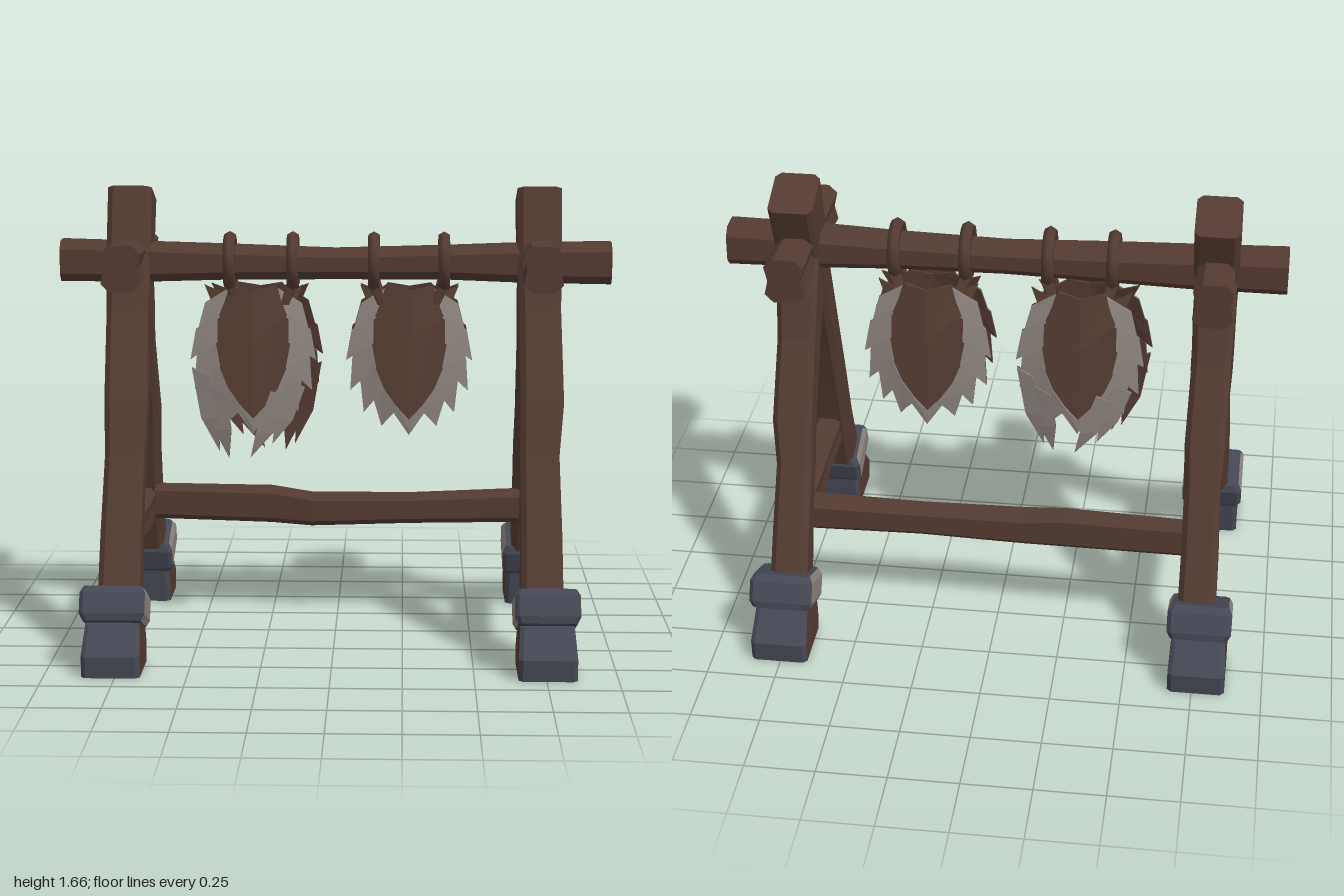
import * as THREE from 'three';

const mat = (name, color) => {
  const m = new THREE.MeshStandardMaterial({ color });
  m.name = name;
  return m;
};

export function createModel() {
  const wood = mat('brown wood', 0x543b32);
  const slate = mat('slate metal', 0x454854);
  const fur = mat('pale grey fur', 0x8b827c);
  const model = new THREE.Group();
  const V = (x, y, z) => new THREE.Vector3(x, y, z);

  // Chamfered timber lofted from a to b. Stations: [t, offsetU, offsetV, sizeU, sizeV].
  // sideMat colours the two faces looking along u; groove cuts a crack along them.
  function timber(name, a, b, u, stations, { main = wood, sideMat = wood, groove = 0, bevel = 0.02 } = {}) {
    const dir = b.clone().sub(a).normalize();
    const v = dir.clone().cross(u).normalize();
    const rings = stations.map(([t, ou, ov, su, sv]) => {
      const hu = su / 2, hv = sv / 2, cu = hu - bevel, cv = hv - bevel;
      const c = a.clone().lerp(b, t).addScaledVector(u, ou).addScaledVector(v, ov);
      const pts = [[hu, -cv], [hu - groove, 0], [hu, cv], [cu, hv], [-cu, hv],
        [-hu, cv], [groove - hu, 0], [-hu, -cv], [-cu, -hv], [cu, -hv]]
        .map(([p, q]) => c.clone().addScaledVector(u, p).addScaledVector(v, q));
      return { c, pts };
    });
    const faces = [[], []];
    const tri = (k, ...p) => p.forEach((q) => faces[k].push(q.x, q.y, q.z));
    for (let r = 0; r < rings.length - 1; r++) {
      for (let i = 0; i < 10; i++) {
        const j = (i + 1) % 10, p = rings[r].pts, q = rings[r + 1].pts, k = i % 5 < 2 ? 1 : 0;
        tri(k, p[i], p[j], q[j]);
        tri(k, p[i], q[j], q[i]);
      }
    }
    const first = rings[0], last = rings[rings.length - 1];
    for (let i = 0; i < 10; i++) {
      const j = (i + 1) % 10;
      tri(0, first.c, first.pts[j], first.pts[i]);
      tri(0, last.c, last.pts[i], last.pts[j]);
    }
    const geo = new THREE.BufferGeometry();
    geo.setAttribute('position', new THREE.Float32BufferAttribute([...faces[0], ...faces[1]], 3));
    geo.addGroup(0, faces[0].length / 3, 0);
    geo.addGroup(faces[0].length / 3, faces[1].length / 3, 1);
    geo.computeVertexNormals();
    const mesh = new THREE.Mesh(geo, main === sideMat ? main : [main, sideMat]);
    mesh.name = name;
    model.add(mesh);
  }

  const X = V(1, 0, 0), Y = V(0, 1, 0);

  // Top rail
  timber('topRail', V(-1, 1.385, -0.01), V(1, 1.385, -0.01), Y, [
    [0, 0.005, 0, 0.15, 0.14], [0.17, 0, 0, 0.14, 0.14], [0.3, 0, 0, 0.125, 0.14],
    [0.5, -0.005, 0.005, 0.11, 0.12], [0.7, 0, 0, 0.12, 0.13], [0.84, 0, 0, 0.14, 0.14], [1, 0, 0, 0.15, 0.14],
  ], { bevel: 0.03 });

  // Lower rail between the back legs
  timber('lowerRail', V(-0.7, 0.42, -0.3), V(0.7, 0.42, -0.28), Y, [
    [0, 0.01, 0, 0.13, 0.08], [0.32, 0.005, 0.015, 0.135, 0.09], [0.43, -0.01, 0.03, 0.12, 0.1],
    [0.7, -0.005, 0.02, 0.11, 0.09], [1, 0.005, 0, 0.12, 0.1],
  ]);

  // End frames: crossed legs with banded feet, cross beam and brace
  for (const side of [-1, 1]) {
    const x = side < 0 ? -0.75 : 0.74;
    const footX = x + side * 0.015;
    for (const s of [1, -1]) {
      const label = s > 0 ? 'front' : 'back';
      const base = V(x, 0.15, s * 0.475);
      const top = s > 0 ? V(x, 1.625, -0.097) : V(x, 1.42, 0.01);
      const topSize = s > 0 ? 0.195 : 0.15;
      const w = s > 0 ? 0.16 : 0.148;
      timber(label + 'Leg', base, top, X, [
        [0, 0, 0, w - 0.01, 0.15], [0.2, 0, 0, w - 0.015, 0.13], [0.38, -0.005 * side, -s * 0.005, w - 0.02, 0.12],
        [0.5, 0.005, -s * 0.012, w - 0.005, 0.125], [0.72, 0, 0, w - 0.01, 0.14],
        [0.85, 0, 0, w, 0.17], [1, 0, 0, w, topSize],
      ]);
      // v points to -z here, so offsets are negated
      timber(label + 'Foot', V(footX, 0, 0), V(footX, 0.17, 0), X, [
        [0, 0, -s * 0.535, 0.205, 0.235], [0.45, 0, -s * 0.533, 0.205, 0.25], [1, 0, -s * 0.49, 0.19, 0.18],
      ], { main: slate, sideMat: wood, bevel: 0.015 });
      timber(label + 'FootBand', V(footX, 0.155, s * 0.505), V(footX, 0.27, s * 0.458), X, [
        [0, 0, 0, 0.205, 0.2], [0.2, 0, 0, 0.23, 0.22], [0.8, 0, 0, 0.23, 0.21], [1, 0, 0, 0.205, 0.18],
      ], { main: slate, sideMat: fur, bevel: 0.015 });
    }
    timber('crossBeam', V(x, 1.39, -0.32), V(x, 1.39, 0.31), X, [
      [0, 0, 0, 0.14, 0.165], [0.3, 0, 0, 0.13, 0.15], [0.7, 0, 0, 0.13, 0.15], [1, 0, 0, 0.14, 0.165],
    ], { groove: 0.012, bevel: 0.03 });
    timber('sideBrace', V(x, 0.42, -0.36), V(x, 0.42, 0.36), X, [
      [0, 0, 0, 0.1, 0.12], [0.45, 0, -0.005, 0.105, 0.135], [0.6, 0, 0.003, 0.1, 0.12], [1, 0, 0, 0.1, 0.125],
    ], { groove: 0.006 });
  }

  // Thin plate cut from an outline, bowed around a central ridge
  function plate(group, name, points, material, z, depth) {
    const shape = new THREE.Shape(points.map(([px, py]) => new THREE.Vector2(px, py)));
    let geo = new THREE.ExtrudeGeometry(shape, { depth, bevelEnabled: false });
    const p = geo.attributes.position;
    for (let i = 0; i < p.count; i++) {
      const bow = 0.045 * Math.max(-0.2, 1 - ((p.getY(i) - 0.92) / 0.33) ** 2);
      p.setZ(i, p.getZ(i) + z + bow - 0.2 * Math.abs(p.getX(i)));
    }
    geo.computeVertexNormals();
    const mesh = new THREE.Mesh(geo, material);
    mesh.name = name;
    group.add(mesh);
  }

  // Pale fur in front, brown skin behind
  function tuft(group, points, lift) {
    plate(group, 'furTuft', points, fur, 0.004 + lift, 0.008);
    plate(group, 'tuftBacking', points, wood, -0.004 + lift, 0.008);
  }

  const edge = [[0.09, 1.29], [0.13, 1.2], [0.14, 1.11], [0.13, 1.02], [0.1, 0.94], [0.05, 0.87], [0, 0.82]];
  const tips = [[0.205, 1.13], [0.23, 1.03], [0.215, 0.92], [0.165, 0.84], [0.1, 0.79], [0.0, 0.76]];
  const tails = [[-0.2, 1.0, -0.125, 0.69], [-0.14, 0.94, -0.09, 0.665], [0.09, 0.92, -0.01, 0.67], [0.15, 0.96, 0.07, 0.72]];

  function hide(cx, z, turn, long) {
    const g = new THREE.Group();
    g.name = 'hangingHide';
    for (const s of [1, -1]) {
      const flip = (pts) => pts.map(([px, py]) => [px * s, py]);
      plate(g, 'hidePanel', flip([[0, 1.28], [0.08, 1.3], [0.11, 1.27], [0.18, 1.3], [0.15, 1.23], [0.15, 1.13],
        [0.14, 1.02], [0.09, 0.91], [0, 0.81]]), wood, -0.004, 0.008);
      plate(g, 'hideFlap', flip([[0, 1.285], [0.08, 1.3], [0.125, 1.19], [0, 1.1]]), wood, 0.006, 0.008);
      // Overlapping tufts down each edge
      tips.forEach(([tx, ty], i) => {
        const [ax, ay] = edge[i], [bx, by] = edge[i + 1];
        const out = [(ax + tx) / 2 + 0.03, (ay + ty) / 2 + 0.025];
        tuft(g, flip([[ax, ay], out, [tx, ty], [(bx + tx) / 2, (by + ty) / 2 - 0.01], [bx - 0.01, by - 0.015]]), i % 2 * 0.003);
      });
    }
    // Long ragged tails
    if (long) {
      tails.forEach(([ax, ay, tx, ty]) => tuft(g, [[ax - 0.025, ay], [ax + 0.04, ay - 0.03],
        [(ax + tx) / 2 + 0.035, (ay + ty) / 2 - 0.03], [tx, ty], [(ax + tx) / 2 - 0.03, (ay + ty) / 2 - 0.03]], 0.005));
    }
    g.position.set(cx, 0, z);
    g.rotation.y = turn;
    model.add(g);
  }
  for (const [cx, long] of [[-0.3, true], [0.27, false]]) {
    hide(cx, 0.03, 0, long);
    hide(cx + (long ? 0.02 : 0), -0.12, Math.PI, long);
  }

  // Rope rings over the rail, with short ties down to the hides
  for (const x of [-0.385, -0.155, 0.14, 0.395]) {
    const geo = new THREE.TorusGeometry(0.085, 0.024, 6, 14);
    geo.rotateY(Math.PI / 2);
    const ring = new THREE.Mesh(geo, wood);
    ring.name = 'ropeRing';
    ring.position.set(x, 1.388, 0);
    ring.rotation.x = 0.1;
    model.add(ring);
    for (const z of [0.02, -0.09]) {
      const inward = x < 0 ? Math.sign(-0.27 - x) : Math.sign(0.267 - x);
      timber('hideTie', V(x + inward * 0.03, 1.23, z), V(x, 1.31, z * 0.6), X,
        [[0, 0, 0, 0.03, 0.02], [1, 0, 0, 0.045, 0.035]], { bevel: 0.005 });
    }
  }

  return model;
}
